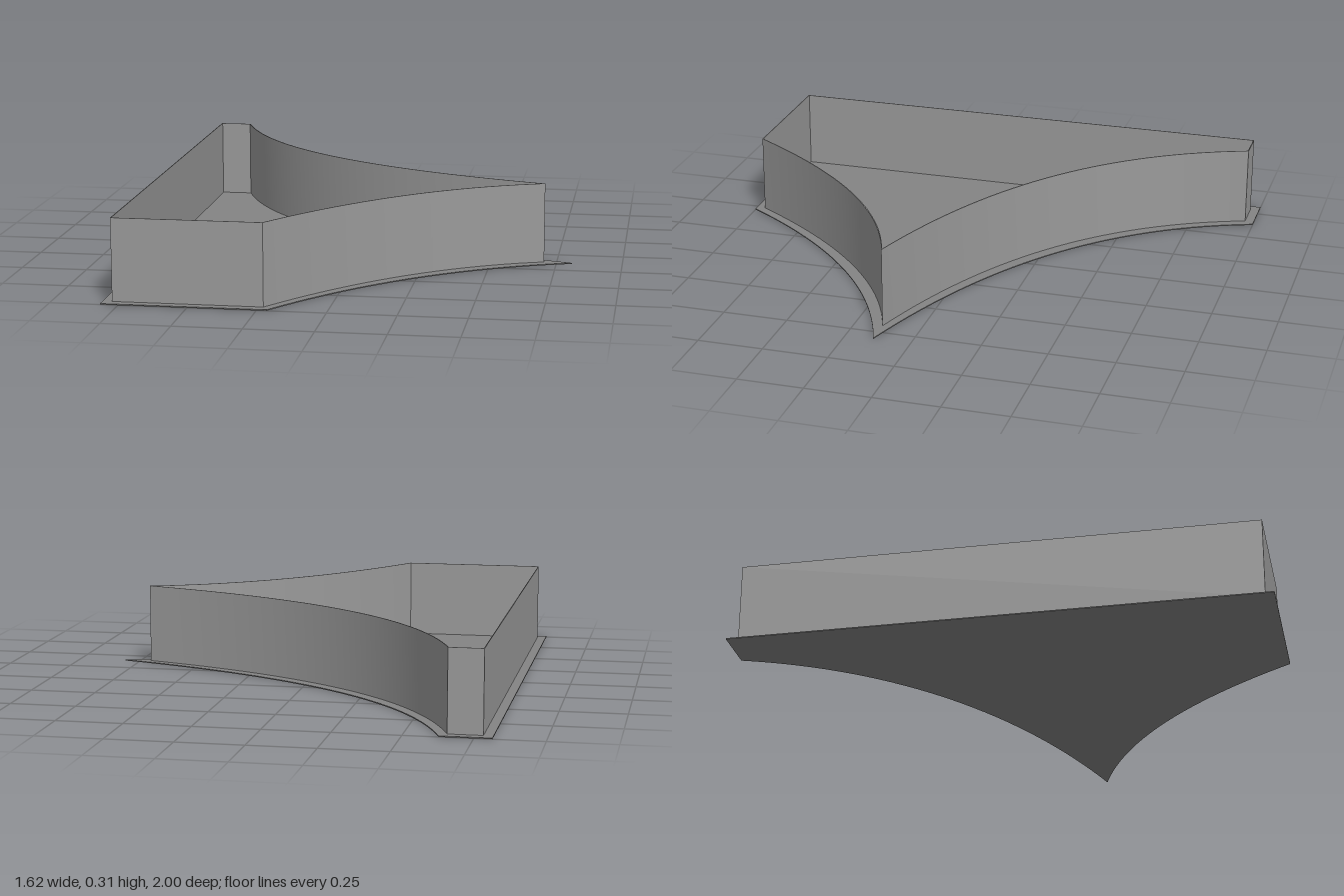
import * as THREE from 'three';
import { toCreasedNormals } from 'three/addons/utils/BufferGeometryUtils.js';

const FLOOR_THICKNESS = 0.004;
const HEIGHT = 0.31;
const INSET = 0.035;
const WALL_THICKNESS = 0.003;

// Closed plan outline drawn as (x, -z), shrunk inwards by d:
// three straight sides and two concave curves that meet in a point.
function outline(d) {
  const left = -0.815 + d;
  const back = 1 - d;
  const front = -1 + d;
  const s = new THREE.Shape();
  s.moveTo(left, back);
  s.lineTo(left, front);
  s.lineTo(-0.213 - 0.52 * d, front);
  s.quadraticCurveTo(0.202 - 0.65 * d, -0.343 + 0.84 * d, 0.81 - 3.05 * d, -0.142);
  s.quadraticCurveTo(-0.36 - 0.76 * d, 0.195 - 0.81 * d, -0.628 - 0.72 * d, back);
  s.lineTo(left, back);
  return s;
}

// Upright prism over a plan shape, standing at height y
function prism(name, shape, y, height, color) {
  const geo = new THREE.ExtrudeGeometry(shape, { depth: height, bevelEnabled: false, curveSegments: 32 });
  geo.rotateX(-Math.PI / 2);
  geo.translate(0, y, 0);
  const mesh = new THREE.Mesh(toCreasedNormals(geo, 0.4), new THREE.MeshStandardMaterial({ color }));
  mesh.name = name;
  return mesh;
}

export function createModel() {
  const group = new THREE.Group();
  group.name = 'openTray';

  // Thin floor sheet that projects past the walls as a narrow flange
  group.add(prism('floor', outline(0), 0, FLOOR_THICKNESS, 0x848484));

  // Thin wall running all the way round, inset from the floor edge
  const wallShape = outline(INSET);
  wallShape.holes.push(outline(INSET + WALL_THICKNESS));
  group.add(prism('wall', wallShape, FLOOR_THICKNESS, HEIGHT - FLOOR_THICKNESS, 0x9a9a9a));

  return group;
}
